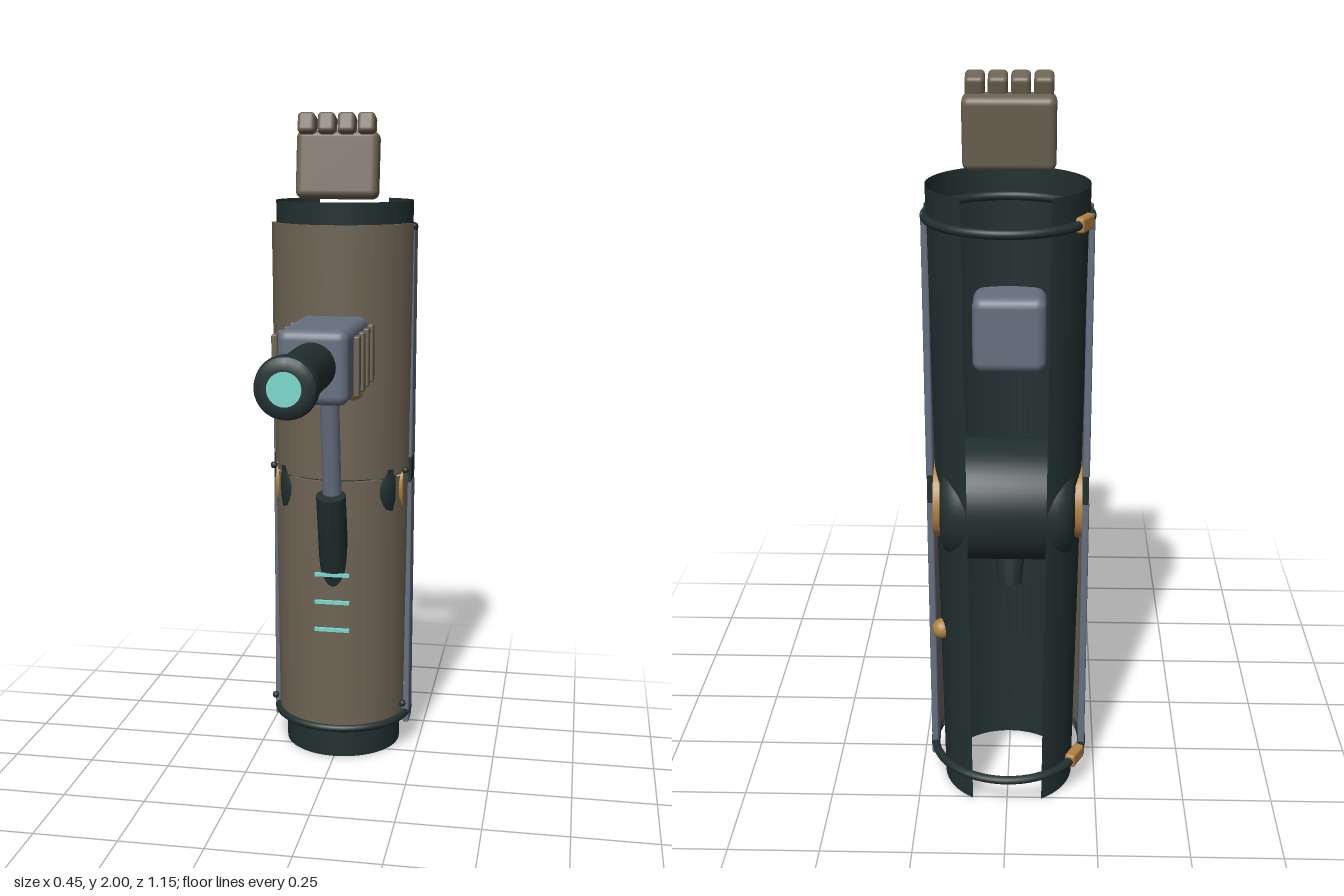
import * as THREE from 'three';
import { toCreasedNormals } from 'three/addons/utils/BufferGeometryUtils.js';
import { RoundedBoxGeometry } from 'three/addons/geometries/RoundedBoxGeometry.js';

const AXIS_Z = -0.35; // depth of the sleeve axis
const rad = THREE.MathUtils.degToRad;

function material(name, color, side = THREE.FrontSide) {
  const m = new THREE.MeshStandardMaterial({ color, side });
  m.name = name;
  return m;
}

export function createModel() {
  const model = new THREE.Group();
  model.name = 'armCannonSleeve';
  const dark = material('darkMetal', 0x223030, THREE.DoubleSide);
  const tan = material('tanArmor', 0x6e6454, THREE.DoubleSide);
  const grey = material('greyMetal', 0x667080);
  const bronze = material('bronze', 0xb08243);
  const teal = material('tealGlow', 0x7ad9cc);

  function add(name, geometry, mat, x = 0, y = 0, z = 0, parent = model) {
    const mesh = new THREE.Mesh(geometry, mat);
    mesh.name = name;
    mesh.position.set(x, y, z);
    parent.add(mesh);
    return mesh;
  }
  const box = (w, h, d, r) => new RoundedBoxGeometry(w, h, d, 3, r);
  const lathe = (pts, start = 0, length = Math.PI * 2) => toCreasedNormals(
    new THREE.LatheGeometry(pts.map(p => new THREE.Vector2(...p)), 48, start, length), 0.6);
  // place something around the sleeve, angle measured from the front towards +x
  function around(mesh, angle, r) {
    mesh.position.x = r * Math.sin(angle);
    mesh.position.z = AXIS_Z + r * Math.cos(angle);
    mesh.rotation.y = angle;
    return mesh;
  }

  // tapered inner sleeve, open at the back
  const open = rad(148);
  add('innerSleeve', new THREE.CylinderGeometry(0.21, 0.183, 1.74, 64, 1, true, -open, open * 2),
    dark, 0, 0.87, AXIS_Z);

  // front armor, two curved plates with a seam
  const plate = (y0, r0, y1, r1) => lathe(
    [[r0 - 0.012, y0], [r0, y0], [r1, y1], [r1 - 0.012, y1], [r0 - 0.012, y0]], rad(-77), rad(154));
  add('upperArmor', plate(0.912, 0.216, 1.675, 0.224), tan, 0, 0, AXIS_Z);
  add('lowerArmor', plate(0.11, 0.207, 0.906, 0.215), tan, 0, 0, AXIS_Z);

  // retaining rings with clasps
  for (const y of [0.105, 1.66]) {
    const ring = add('retainingRing', new THREE.TorusGeometry(0.212, 0.012, 10, 64), dark, 0, y, -0.355);
    ring.rotation.x = Math.PI / 2;
    around(add('ringClasp', box(0.07, 0.04, 0.03, 0.008), bronze, 0, y), rad(-116), 0.212);
  }

  // elbow drum across the sleeve
  const drum = add('elbowDrum', lathe([[0, -0.18], [0.12, -0.18], [0.145, -0.172], [0.16, -0.155],
    [0.167, -0.13], [0.167, 0.13], [0.16, 0.155], [0.145, 0.172], [0.12, 0.18], [0, 0.18]]),
    dark, 0, 0.87, AXIS_Z);
  drum.rotation.z = Math.PI / 2;

  for (const s of [-1, 1]) {
    // side rails, with pivot cap and dark joint band
    add('upperRail', box(0.019, 0.72, 0.08, 0.005), grey, s * 0.2105, 1.31, -0.353);
    add('lowerRail', box(0.019, 0.805, 0.08, 0.005), grey, s * 0.2105, 0.4725, -0.353);
    add('railBand', new THREE.BoxGeometry(0.02, 0.08, 0.085), dark, s * 0.208, 0.912, -0.353);
    const cap = add('pivotCap', new THREE.CylinderGeometry(0.106, 0.106, 0.025, 40), bronze,
      s * 0.187, 0.87, -0.352);
    cap.rotation.z = Math.PI / 2;
    // small bolts and seam clips on the armor
    for (const y of [0.16, 0.925])
      around(add('armorBolt', new THREE.SphereGeometry(0.011, 12, 8), dark, 0, y), s * rad(65), 0.228);
    around(add('seamClip', new THREE.BoxGeometry(0.022, 0.025, 0.01), dark, 0, 0.922), s * rad(50), 0.214);
  }
  add('sleeveStud', new THREE.SphereGeometry(0.028, 20, 14), bronze, 0.183, 0.495, -0.41);

  // side arm housing with ribs
  add('housing', box(0.2, 0.21, 0.48, 0.028), grey, 0, 1.305, -0.035);
  for (const s of [-1, 1])
    for (let i = 0; i < 4; i++)
      add('housingRib', box(0.017, 0.17, 0.034, 0.005), tan, s * 0.116, 1.305, 0.135 - i * 0.087);
  add('housingKnob', new THREE.SphereGeometry(0.033, 20, 14), bronze, 0.085, 1.22, 0.017);

  // barrel with flared muzzle and glowing lens
  const barrel = add('barrel', lathe([[0, 0.15], [0.068, 0.15], [0.068, 0.48], [0.074, 0.495],
    [0.082, 0.515], [0.084, 0.54], [0.08, 0.562], [0.07, 0.57], [0.047, 0.572], [0, 0.568]]),
    dark, 0, 1.31, 0);
  barrel.rotation.x = Math.PI / 2;
  const lens = add('muzzleLens', new THREE.CylinderGeometry(0.045, 0.045, 0.008, 32), teal, 0, 1.31, 0.571);
  lens.rotation.x = Math.PI / 2;

  // slanted piston: grey rod in a dark tapered cylinder
  const rod = new THREE.LineCurve3(new THREE.Vector3(0, 1.24, -0.068), new THREE.Vector3(0, 0.84, -0.13));
  add('pistonRod', new THREE.TubeGeometry(rod, 1, 0.029, 24), grey);
  const piston = add('pistonCylinder', lathe([[0, -0.36], [0.033, -0.36], [0.045, -0.25], [0.045, 0], [0, 0]]),
    dark, 0, 0.872, -0.105);
  piston.rotation.x = rad(14);

  // glowing bars on the lower armor
  for (const y of [0.615, 0.527, 0.438])
    add('glowBar', new THREE.BoxGeometry(0.108, 0.01, 0.012), teal, 0, y, -0.125);

  // hand: palm and four curled fingers
  const palm = add('palm', box(0.244, 0.195, 0.075, 0.02), tan, 0, 1.845, -0.225);
  palm.rotation.x = -0.14;
  for (let i = 0; i < 4; i++) {
    const finger = add('finger', box(0.051, 0.06, 0.064, 0.012), tan, (i - 1.5) * 0.059, 1.962, -0.208);
    finger.rotation.x = -0.28;
  }
  return model;
}
